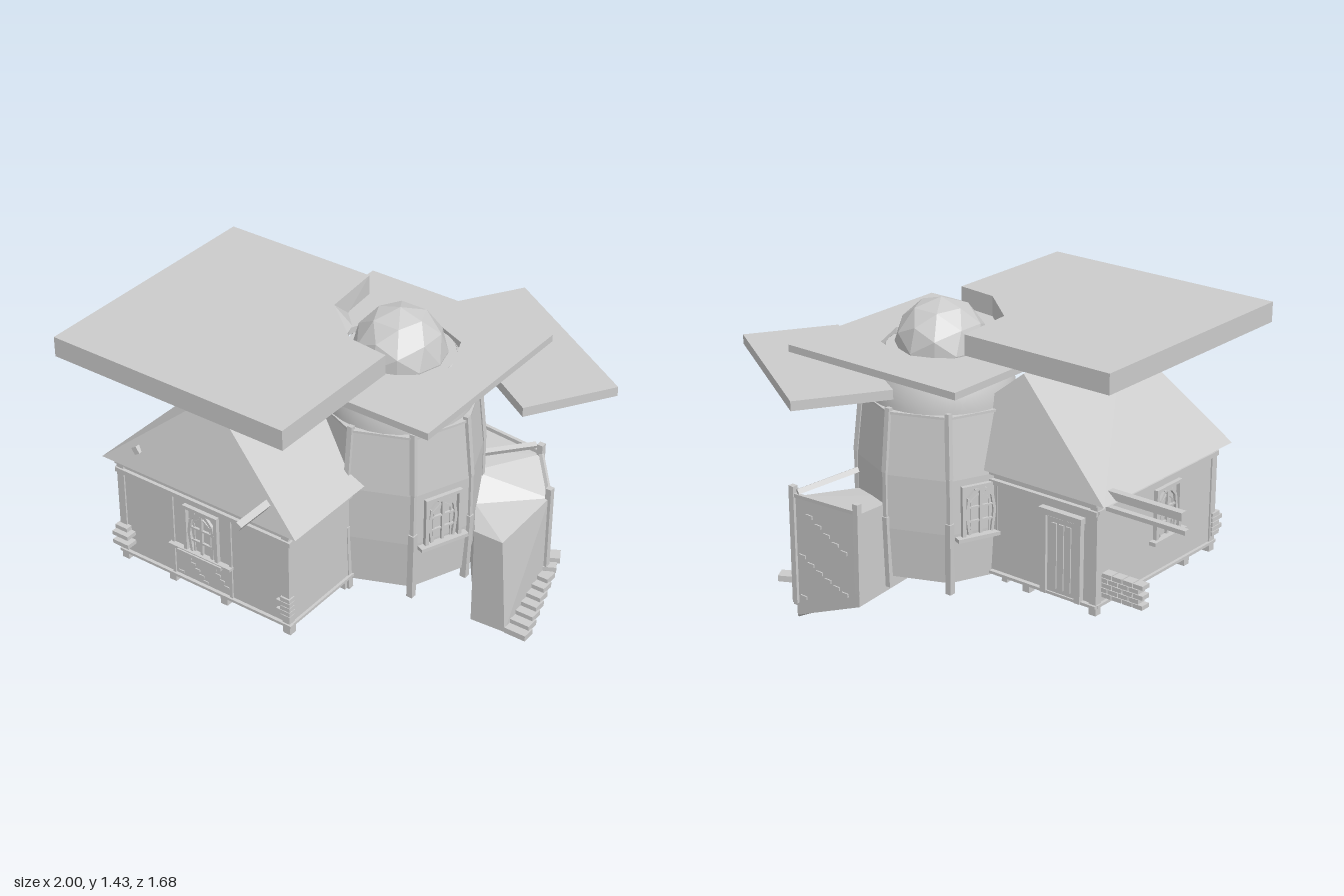
import * as THREE from 'three';

const mat = new THREE.MeshStandardMaterial({ color: 0xcccccc, side: THREE.DoubleSide, flatShading: true });
const smooth = new THREE.MeshStandardMaterial({ color: 0xcccccc, side: THREE.DoubleSide });
const oneSided = new THREE.MeshStandardMaterial({ color: 0xcccccc, flatShading: true });
const CX = 0.215, CZ = -0.075; // tower axis

function add(parent, name, geo, x = 0, y = 0, z = 0, m = mat) {
  const mesh = new THREE.Mesh(geo, m);
  mesh.name = name;
  mesh.position.set(x, y, z);
  parent.add(mesh);
  return mesh;
}

// Box given by its min and max on each axis
function box(parent, name, x0, x1, y0, y1, z0, z1) {
  return add(parent, name, new THREE.BoxGeometry(x1 - x0, y1 - y0, z1 - z0),
    (x0 + x1) / 2, (y0 + y1) / 2, (z0 + z1) / 2);
}

// Square beam between two points
function beam(parent, name, a, b, w = 0.025) {
  const A = new THREE.Vector3(...a), B = new THREE.Vector3(...b);
  const m = add(parent, name, new THREE.BoxGeometry(w, A.distanceTo(B), w));
  m.position.copy(A).lerp(B, 0.5);
  m.quaternion.setFromUnitVectors(new THREE.Vector3(0, 1, 0), B.sub(A).normalize());
  return m;
}

// Flat slab from an outline of [x, z] points, with an optional octagonal hole
function slab(parent, name, pts, y0, y1, hole) {
  const shape = new THREE.Shape(pts.map(([x, z]) => new THREE.Vector2(x, -z)));
  if (hole) {
    const p = [];
    for (let i = 0; i < 8; i++) {
      const a = i * Math.PI / 4;
      p.push(new THREE.Vector2(CX + hole * Math.cos(a), -CZ + hole * Math.sin(a)));
    }
    shape.holes.push(new THREE.Path(p));
  }
  const geo = new THREE.ExtrudeGeometry(shape, { depth: y1 - y0, bevelEnabled: false });
  geo.rotateX(-Math.PI / 2);
  return add(parent, name, geo, 0, y0, 0);
}

// Surface from polygons over a short list of corners
function faces(parent, name, verts, polys, m = mat) {
  const pos = [];
  for (const p of polys)
    for (let i = 1; i < p.length - 1; i++) pos.push(...verts[p[0]], ...verts[p[i]], ...verts[p[i + 1]]);
  const geo = new THREE.BufferGeometry();
  geo.setAttribute('position', new THREE.Float32BufferAttribute(pos, 3));
  geo.computeVertexNormals();
  return add(parent, name, geo, 0, 0, 0, m);
}

// Arched window facing local +z
function archedWindow(parent, x, y, z, turn) {
  const g = new THREE.Group();
  g.name = 'archedWindow';
  g.position.set(x, y, z);
  g.rotation.y = turn;
  for (const s of [-1, 1]) {
    box(g, 'windowSide', s * 0.077 - 0.008, s * 0.077 + 0.008, -0.11, 0.11, -0.01, 0.016);
    // Bowed jamb and pointed arch
    beam(g, 'windowJamb', [s * 0.05, -0.1, 0.004], [s * 0.062, -0.01, 0.004], 0.012);
    beam(g, 'windowJamb', [s * 0.062, -0.01, 0.004], [s * 0.052, 0.055, 0.004], 0.012);
    beam(g, 'windowArch', [s * 0.052, 0.055, 0.004], [s * 0.025, 0.085, 0.004], 0.012);
    beam(g, 'windowArch', [s * 0.025, 0.085, 0.004], [0, 0.092, 0.004], 0.012);
    beam(g, 'windowTracery', [s * 0.04, -0.1, 0], [s * 0.04, 0.04, 0], 0.007);
    beam(g, 'windowTracery', [s * 0.04, 0.04, 0], [0, 0.07, 0], 0.007);
  }
  box(g, 'windowHead', -0.085, 0.085, 0.098, 0.112, -0.01, 0.016);
  box(g, 'windowSill', -0.11, 0.11, -0.118, -0.102, -0.01, 0.03);
  box(g, 'windowMullion', -0.006, 0.006, -0.1, 0.085, -0.01, 0.01);
  for (const h of [-0.045, 0.015]) box(g, 'windowBar', -0.055, 0.055, h - 0.004, h + 0.004, -0.01, 0.008);
  parent.add(g);
}

function buildHouse(root) {
  const g = new THREE.Group();
  g.name = 'house';
  root.add(g);
  box(g, 'houseWalls', -0.62, 0.225, 0.345, 0.8, -0.14, 0.66);

  // Gable roof, its ends leaning inwards
  const v = [[-0.68, 0.8, 0.69], [0.28, 0.8, 0.69], [0.28, 0.8, -0.18], [-0.68, 0.8, -0.18], [-0.2, 1.2, 0.575], [-0.2, 1.2, -0.07]];
  faces(g, 'gableRoof', v, [[0, 1, 4], [1, 2, 5, 4], [2, 3, 5], [3, 0, 4, 5], [0, 3, 2, 1]]);

  // Timber frame
  for (const [x, z] of [[-0.61, 0.65], [0.212, 0.65], [-0.61, -0.132]])
    box(g, 'cornerPost', x - 0.017, x + 0.017, 0.315, 0.8, z - 0.017, z + 0.017);
  for (const x of [-0.35, -0.06]) box(g, 'frontStud', x - 0.007, x + 0.007, 0.345, 0.74, 0.65, 0.667);
  for (const [x, z] of [[-0.36, 0.65], [-0.115, 0.63], [0.2, 0.63], [0.2, 0.27], [-0.61, 0.15], [-0.61, 0.47], [-0.28, -0.132]])
    box(g, 'footing', x - 0.017, x + 0.017, x > -0.2 ? 0.29 : 0.315, 0.36, z - 0.017, z + 0.017);
  for (const y of [0.355, 0.75, 0.79]) {
    const w = y < 0.5 ? 0.006 : 0.01;
    box(g, 'frontRail', -0.63, 0.24, y - w, y + w, 0.655, 0.675);
    box(g, 'rightRail', 0.22, 0.237, y - w, y + w, 0.1, 0.67);
    box(g, 'sideRail', -0.633, -0.615, y - w, y + w, -0.145, 0.67);
    box(g, 'backRail', -0.63, -0.1, y - w, y + w, -0.16, -0.135);
  }

  // Beams poking out of the roof and the back corner
  for (const [x, end] of [[-0.51, 0.68], [0.125, 0.84]]) {
    const b = box(g, 'roofBeam', x - 0.014, x + 0.014, 0.872, 0.903, 0.45, end);
    b.rotation.z = x < 0 ? 0.6 : -0.6;
  }
  box(g, 'sideBeam', -0.98, -0.5, 0.802, 0.835, -0.1, -0.068);
  box(g, 'sideBeam', -1, -0.5, 0.75, 0.768, -0.102, -0.075);

  // Windows, sill and door
  archedWindow(g, -0.2, 0.61, 0.662, 0);
  archedWindow(g, -0.622, 0.61, 0.32, -Math.PI / 2);
  box(g, 'frontSill', -0.36, -0.05, 0.5, 0.512, 0.65, 0.685);
  box(g, 'door', -0.53, -0.39, 0.36, 0.68, -0.153, -0.135);
  for (const x of [-0.545, -0.375]) box(g, 'doorPost', x - 0.014, x + 0.014, 0.35, 0.7, -0.165, -0.135);
  box(g, 'doorLintel', -0.565, -0.355, 0.69, 0.715, -0.17, -0.135);
  for (const x of [-0.495, -0.46, -0.425]) box(g, 'doorPlank', x - 0.012, x + 0.012, 0.38, 0.66, -0.159, -0.135);

  // Loose bricks on the corners and under the front window
  for (let r = 0; r < 5; r++) {
    const y = 0.385 + r * 0.021, o = (r % 2) * 0.02;
    for (let i = 0; i < 4; i++)
      box(g, 'sideBrick', -0.82 + i * 0.05 + o, -0.775 + i * 0.05 + o, y, y + 0.018, -0.11, -0.065);
    box(g, 'cornerBrick', -0.635, -0.575 + o, y, y + 0.018, 0.64, 0.69 + o);
    box(g, 'cornerBrick', 0.19 - o, 0.235, y, y + 0.018, 0.64, 0.675);
  }
  for (let i = 0; i < 12; i++) {
    const x = -0.33 + (i * 7 % 12) * 0.021, y = 0.37 + (i * 5 % 6) * 0.021;
    box(g, 'wallBrick', x, x + 0.025, y, y + 0.01, 0.655, 0.664);
  }
}

function buildTower(root) {
  const g = new THREE.Group();
  g.name = 'tower';
  g.position.set(CX, 0, CZ);
  root.add(g);
  const profile = [[0, 0.335], [0.335, 0.335], [0.35, 0.55], [0.35, 0.78], [0.322, 1.035], [0, 1.035]].map(p => new THREE.Vector2(...p));
  add(g, 'towerWalls', new THREE.LatheGeometry(profile, 8));
  add(g, 'towerRim', new THREE.CylinderGeometry(0.33, 0.33, 0.01, 8), 0, 1.036, 0);

  // Hanging sheet below the floor, facing the front
  faces(g, 'underFloorSheet', [[-0.25, 0.335, 0.07], [-0.25, 0.31, 0.07], [0, 0.235, 0.07], [0.23, 0.28, 0.07], [0.23, 0.335, 0.07]],
    [[0, 1, 2, 3, 4]], oneSided);

  // Corner posts following the wall
  for (let i = 0; i < 8; i++) {
    const c = Math.cos(i * Math.PI / 4), s = Math.sin(i * Math.PI / 4);
    beam(g, 'towerPost', [0.335 * c, 0.29, 0.335 * s], [0.348 * c, 0.6, 0.348 * s], 0.027);
    beam(g, 'towerPost', [0.348 * c, 0.6, 0.348 * s], [0.347 * c, 0.79, 0.347 * s], 0.018);
    beam(g, 'towerPost', [0.347 * c, 0.79, 0.347 * s], [0.32 * c, 1.055, 0.32 * s], 0.022);
  }
  for (const deg of [67.5, 247.5]) {
    const a = deg * Math.PI / 180;
    archedWindow(g, 0.325 * Math.sin(a), 0.64, 0.325 * Math.cos(a), a);
  }

  // Smooth lower dome, cut off below the faceted cap
  const dome = [];
  for (let i = 0; i <= 10; i++) {
    const a = i / 10 * 0.73;
    dome.push(new THREE.Vector2(0.3 * Math.cos(a), 1.035 + 0.3 * Math.sin(a)));
  }
  add(g, 'lowerDome', new THREE.LatheGeometry(dome, 32), 0, 0, 0, smooth);
  add(g, 'domeTop', new THREE.CylinderGeometry(0.223, 0.223, 0.004, 32), 0, 1.233, 0);
  add(g, 'domeCap', new THREE.IcosahedronGeometry(0.19, 1), 0, 1.24, 0);
}

function buildStair(root) {
  const g = new THREE.Group();
  g.name = 'stair';
  root.add(g);
  // Sections: outer x, z, inner x, z, outer bottom, inner bottom, top
  const S = [
    [0.72, -0.13, 0.555, -0.13, 0.04, 0.03, 0.48],
    [0.72, -0.43, 0.5, -0.22, 0.0, 0.12, 0.54],
    [0.59, -0.565, 0.43, -0.3, 0.1, 0.22, 0.63],
    [0.23, -0.575, 0.22, -0.3, 0.25, 0.28, 0.65],
  ];
  const v = [], polys = [[0, 3, 2, 1]];
  S.forEach(([ox, oz, ix, iz, ob, ib, t], i) => {
    v.push([ox, ob, oz], [ox - (i === 0 ? 0.03 : 0), t, oz], [ix, t, iz], [ix, ib, iz]);
    if (i) for (let k = 0; k < 4; k++) {
      const a = (i - 1) * 4, n = (k + 1) % 4;
      polys.push([a + k, a + n, a + 4 + n, a + 4 + k]);
    }
  });
  polys.push([12, 13, 14, 15]);
  faces(g, 'stairShell', v, polys);

  // Posts and handrail along the outer wall
  S.slice(1).forEach(([x, z, , , b, , t]) => beam(g, 'stairPost', [x, b + 0.06, z], [x, t + 0.05, z], 0.026));
  for (let i = 1; i < 3; i++)
    beam(g, 'handrail', [S[i][0], S[i][6] + 0.01, S[i][1]], [S[i + 1][0], S[i + 1][6] + 0.01, S[i + 1][1]], 0.016);
  beam(g, 'landingBeam', [0.45, 0.71, -0.33], [0.56, 0.66, -0.57], 0.022);

  // Steps climbing the outside of the shell
  for (let i = 0; i < 9; i++) {
    const step = add(g, 'step', new THREE.BoxGeometry(0.1, 0.026, 0.06), 0.768 - i * 0.008, 0.05 + i * 0.02, -0.16 - i * 0.04);
    step.rotation.y = i < 7 ? 0 : 0.5;
  }

  // Bricks showing through the back walls
  for (let i = 0; i < 24; i++) {
    const [p, q] = i % 2 ? [S[1], S[2]] : [S[2], S[3]];
    const t = 0.12 + (i * 7 % 12) / 15, h = 0.15 + (i * 5 % 11) / 14;
    const at = k => p[k] + (q[k] - p[k]) * t;
    const brick = add(g, 'wallBrick', new THREE.BoxGeometry(0.035, 0.015, 0.012), at(0), at(4) + (at(6) - at(4)) * h, at(1));
    brick.rotation.y = Math.atan2(p[1] - q[1], q[0] - p[0]);
  }
}

export function createModel() {
  const root = new THREE.Group();
  root.name = 'towerHouse';
  buildHouse(root);
  buildTower(root);
  buildStair(root);

  // Three floating roof slabs, the upper one notched around the dome
  slab(root, 'upperSlab', [[-0.76, -0.27], [-0.07, -0.27], [-0.045, 0], [0.15, 0.165], [0.33, 0.185], [0.33, 0.82], [-0.76, 0.82]], 1.3, 1.385);
  faces(root, 'notchSlope', [[-0.07, 1.385, -0.27], [-0.045, 1.385, 0], [0.15, 1.385, 0.165], [-0.05, 1.3, -0.1], [0.02, 1.3, -0.03], [0.06, 1.3, 0.09]],
    [[0, 1, 3], [1, 4, 3], [1, 5, 4], [1, 2, 5]]);
  slab(root, 'middleSlab', [[-0.22, -0.505], [0.645, -0.505], [0.645, 0.36], [-0.22, 0.36]], 1.22, 1.25, 0.242);
  slab(root, 'lowerSlab', [[0.305, -0.845], [1, -0.41], [0.785, -0.07], [0.09, -0.505]], 1.15, 1.19);
  return root;
}
